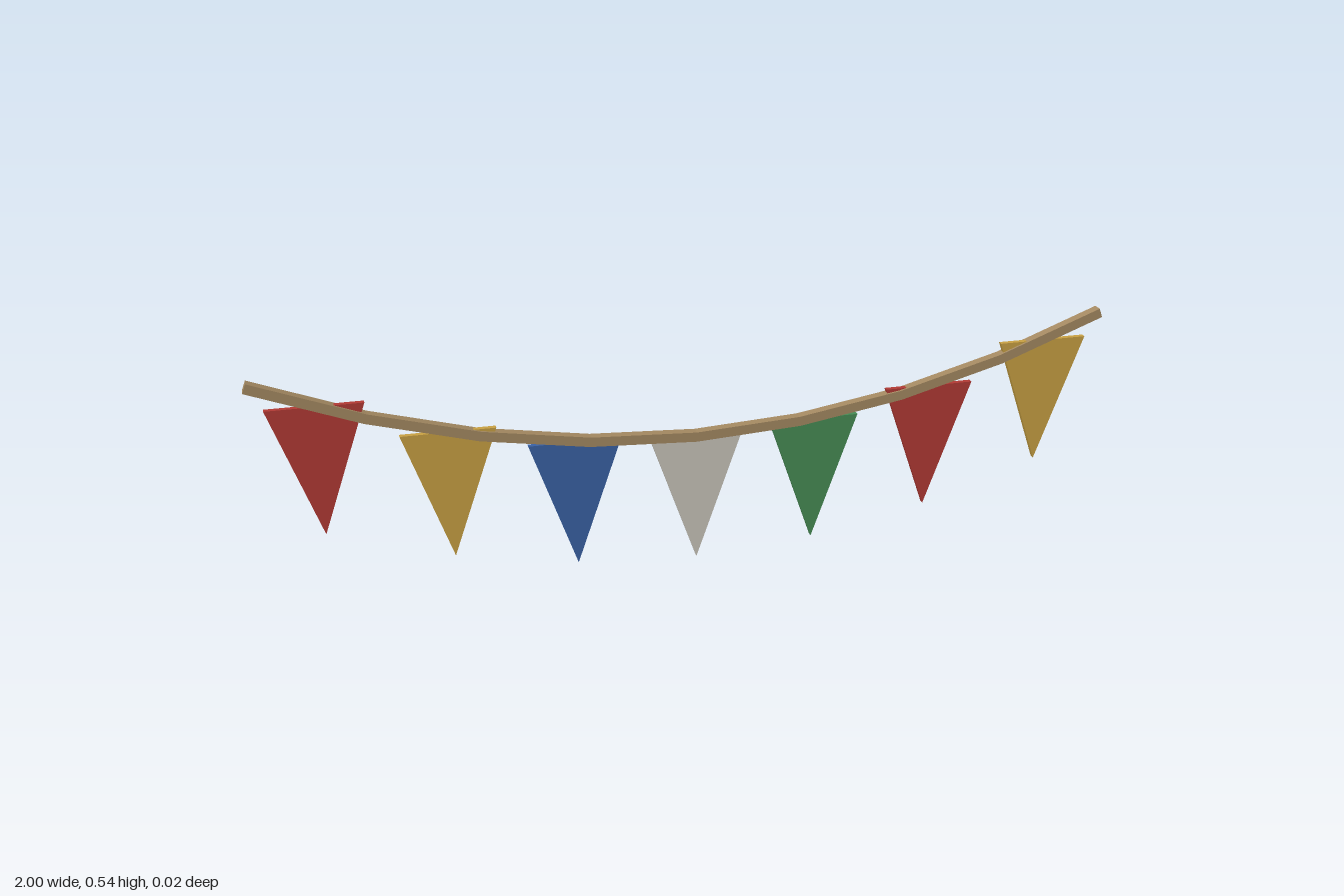
import * as THREE from 'three';

const SEGMENTS = 8, FLAGS = 7;
const HALF = 0.996;          // half span of the rope
const LOW = 0.311, SAG = 0.219;
const ROPE = 0.0231, CLOTH = 0.0125;
const FLAG_W = 0.215, FLAG_H = 0.3075;

const material = (name, color) => {
  const m = new THREE.MeshStandardMaterial({ color });
  m.name = name;
  return m;
};

// Extrude an outline of [x, y] points, centred on z = 0
function slab(points, depth) {
  const shape = new THREE.Shape(points.map(([x, y]) => new THREE.Vector2(x, y)));
  return new THREE.ExtrudeGeometry(shape, { depth, bevelEnabled: false }).translate(0, 0, -depth / 2);
}

export function createModel() {
  const group = new THREE.Group();
  group.name = 'bunting';

  const ropeTan = material('rope tan', 0xa58a62);
  const cloth = [
    material('red cloth', 0xb23a34),
    material('yellow cloth', 0xc9a143),
    material('blue cloth', 0x3a62a5),
    material('white cloth', 0xcac6bc),
    material('green cloth', 0x478c55),
  ];

  // Sagging rope: straight runs between points on a parabola
  const nodes = [];
  for (let i = 0; i <= SEGMENTS; i++) {
    const x = HALF * (2 * i / SEGMENTS - 1);
    nodes.push([x, LOW + SAG * x * x]);
  }
  const offset = (side) => nodes.map(([x, y], i) => {
    const [ax, ay] = nodes[Math.max(i - 1, 0)];
    const [bx, by] = nodes[Math.min(i + 1, SEGMENTS)];
    const n = new THREE.Vector2(ay - by, bx - ax).setLength(side * ROPE / 2);
    return [x + n.x, y + n.y];
  });
  const rope = new THREE.Mesh(slab([...offset(-1), ...offset(1).reverse()], ROPE), ropeTan);
  rope.name = 'rope';
  group.add(rope);

  // Height of the rope's centre line at x
  const ropeY = (x) => {
    const t = (x / HALF + 1) / 2 * SEGMENTS;
    const i = Math.min(Math.floor(t), SEGMENTS - 1);
    return THREE.MathUtils.lerp(nodes[i][1], nodes[i + 1][1], t - i);
  };

  // Triangular pennants hanging upright from the rope
  const pennant = slab([[-FLAG_W / 2, 0], [0, -FLAG_H], [FLAG_W / 2, 0]], CLOTH);
  for (let i = 0; i < FLAGS; i++) {
    const x = HALF * ((2 * i + 1) / FLAGS - 1);
    const flag = new THREE.Mesh(pennant, cloth[i % cloth.length]);
    flag.name = 'pennant' + (i + 1);
    flag.position.set(x, ropeY(x) - LOW + FLAG_H, 0);
    group.add(flag);
  }
  return group;
}
